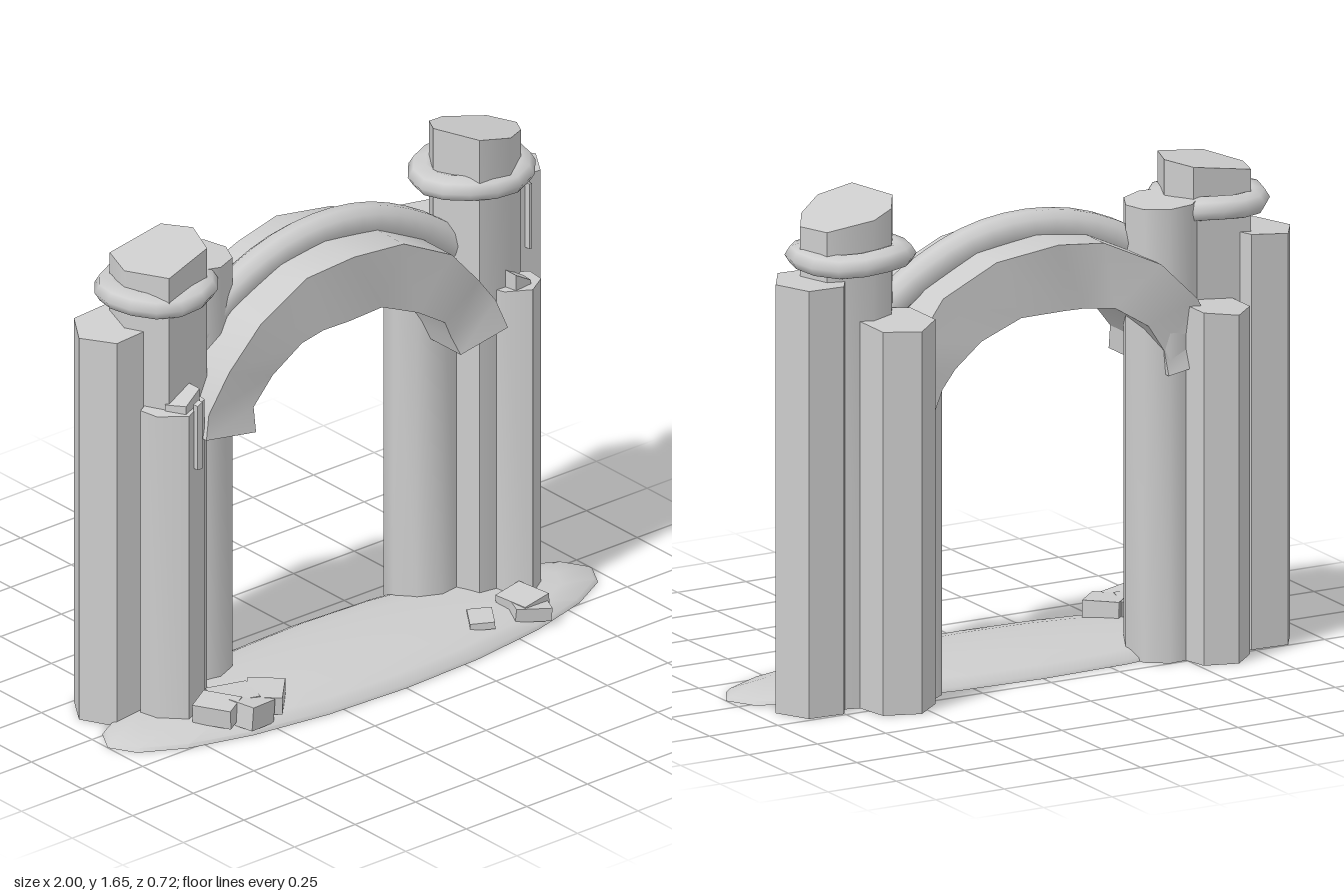
import * as THREE from 'three';
import { toCreasedNormals } from 'three/addons/utils/BufferGeometryUtils.js';

export function createModel() {
  const model = new THREE.Group();
  const stone = new THREE.MeshStandardMaterial({ color: 0xcccccc });
  stone.name = 'grey stone';

  function add(name, geometry, crease = 0.8) {
    const mesh = new THREE.Mesh(toCreasedNormals(geometry, crease), stone);
    mesh.name = name;
    model.add(mesh);
    return mesh;
  }

  // Upright prism over an [x, z] outline, its top slanting by slopeX and slopeZ
  function prism(name, outline, height, slopeX = 0, slopeZ = 0, bottom = 0) {
    const shape = new THREE.Shape(outline.map(([x, z]) => new THREE.Vector2(x, -z)));
    const g = new THREE.ExtrudeGeometry(shape, { depth: height - bottom, bevelEnabled: false });
    g.rotateX(-Math.PI / 2).translate(0, bottom, 0);
    g.computeBoundingBox();
    const c = g.boundingBox.getCenter(new THREE.Vector3());
    const p = g.attributes.position;
    for (let i = 0; i < p.count; i++) {
      if (p.getY(i) > (height + bottom) / 2) {
        p.setY(i, height + slopeX * (p.getX(i) - c.x) + slopeZ * (p.getZ(i) - c.z));
      }
    }
    return add(name, g);
  }

  const polygon = (x, z, r, sides, turn = 0) => Array.from({ length: sides }, (_, i) => {
    const a = turn + (i / sides) * Math.PI * 2;
    return [x + r * Math.cos(a), z + r * Math.sin(a)];
  });

  // Low mound of ground
  const mound = [[0, 0], [1, 0], [0.985, 0.012], [0.85, 0.033], [0.6, 0.048], [0.3, 0.058], [0, 0.06]];
  const ground = new THREE.LatheGeometry(mound.map(([r, y]) => new THREE.Vector2(r, y)), 20, Math.PI / 2);
  add('groundMound', ground.scale(1, 1, 0.28).translate(0, 0, 0.078));

  // Right pillar cluster (-x)
  prism('mainColumnRight', [[-0.8, -0.08], [-0.76, -0.2], [-0.55, -0.2], [-0.5, -0.1],
    [-0.55, 0.03], [-0.74, 0.07]], 1.588, 0.17, 0);
  prism('outerColumnRight', polygon(-0.81, -0.13, 0.13, 6, 0.05), 1.36, 0.1, 0);
  prism('innerColumnRight', polygon(-0.47, -0.13, 0.122, 9, 0.1), 1.495, -0.04, 0);
  prism('backColumnRight', polygon(-0.6, -0.245, 0.115, 6, 0.3), 1.16, 0.1, 0.1);
  prism('frontColumnRight', [[-0.8, 0.0], [-0.79, 0.07], [-0.72, 0.145], [-0.62, 0.1],
    [-0.61, 0.0], [-0.7, -0.05]], 1.11, 0.12, 0);

  // Left pillar cluster (+x)
  prism('mainColumnLeft', [[0.5, -0.11], [0.55, -0.19], [0.63, -0.22], [0.78, -0.18],
    [0.82, -0.08], [0.77, 0.0], [0.67, 0.07], [0.55, 0.06]], 1.61, -0.22, 0.1);
  prism('outerColumnLeft', polygon(0.81, -0.13, 0.125, 6, 0.05), 1.41, 0, 0.03);
  prism('innerColumnLeft', polygon(0.47, -0.13, 0.122, 9, 0.3), 1.2, 0.1, 0);
  prism('backColumnLeft', polygon(0.56, -0.24, 0.125, 6, 0.35), 1.27, 0, 0.1);
  prism('frontColumnLeft', [[0.61, 0.03], [0.62, 0.1], [0.69, 0.155], [0.77, 0.1],
    [0.79, 0.02], [0.7, -0.05]], 1.1, 0, 0.12);

  // Flattened collars near the column tops
  for (const side of [-1, 1]) {
    const ring = new THREE.TorusGeometry(0.15, 0.06, 8, 14).rotateX(Math.PI / 2);
    const p = ring.attributes.position;
    for (let i = 0; i < p.count; i++) {
      const a = Math.atan2(p.getZ(i), p.getX(i));
      p.setY(i, p.getY(i) * 0.66 + 0.005 * Math.sin(3 * a + side));
    }
    ring.scale(side < 0 ? 0.97 : 1.02, 1, 0.93).translate(side < 0 ? -0.66 : 0.642, 1.463, -0.09);
    add(side < 0 ? 'collarRight' : 'collarLeft', ring, 1.3);
  }

  // Rough arch: sections of inner x, y and outer x, y, running from -x to +x
  const sections = [
    [-0.425, 0.95, -0.63, 0.985], [-0.42, 1.03, -0.605, 1.06], [-0.35, 1.125, -0.53, 1.19],
    [-0.23, 1.2, -0.4, 1.32], [-0.13, 1.21, -0.2, 1.415], [-0.04, 1.22, -0.02, 1.44],
    [0.11, 1.215, 0.2, 1.41], [0.25, 1.155, 0.39, 1.315], [0.36, 1.085, 0.5, 1.19],
    [0.395, 1.02, 0.58, 1.09], [0.42, 0.955, 0.615, 0.99]];
  const points = [];
  const faces = [];
  sections.forEach(([ix, iy, ox, oy], i) => {
    const front = 0.112 + 0.01 * Math.cos(i * 2.5);
    const back = -0.252 - 0.014 * Math.cos(i * 2.2 + 1);
    points.push(ix, iy, front, ox, oy, front, ox, oy, back, ix, iy, back);
    if (i === 0) return;
    for (let k = 0; k < 4; k++) {
      const a = (i - 1) * 4 + k, b = (i - 1) * 4 + (k + 1) % 4;
      faces.push(a, a + 4, b, b, a + 4, b + 4);
    }
  });
  const end = (sections.length - 1) * 4;
  faces.push(0, 1, 2, 0, 2, 3, end, end + 2, end + 1, end, end + 3, end + 2);
  const arch = new THREE.BufferGeometry();
  arch.setAttribute('position', new THREE.Float32BufferAttribute(points, 3));
  arch.setIndex(faces);
  add('arch', arch, 0.5);

  // Rounded rib along the arch crown
  const ribPath = new THREE.CatmullRomCurve3([[-0.56, 1.22], [-0.4, 1.34], [-0.2, 1.43], [0, 1.457],
    [0.2, 1.43], [0.4, 1.34], [0.54, 1.24]].map(([x, y]) => new THREE.Vector3(x, y, -0.075)));
  add('archRib', new THREE.TubeGeometry(ribPath, 16, 0.056, 10), 1);

  // Broken shards on the front columns
  prism('shardRight', [[-0.69, 0.13], [-0.67, 0.13], [-0.67, 0.15], [-0.69, 0.15]], 1.14, 0.5, 0, 0.91);
  prism('shardTopRight', [[-0.75, 0.06], [-0.64, 0.05], [-0.64, 0.1], [-0.72, 0.13]], 1.145, 0.35, 0, 1.08);
  prism('shardTopLeft', [[0.65, 0.05], [0.74, 0.05], [0.72, 0.11], [0.65, 0.12]], 1.135, -0.6, 0, 1.08);
  prism('shardLeft', [[0.805, -0.03], [0.815, -0.03], [0.815, 0], [0.805, 0]], 1.39, 0, 0, 1.16);

  // Fallen rubble: x, y, z, width, height, depth, turn, tilt
  const rubble = [
    [-0.65, 0.07, 0.2, 0.1, 0.065, 0.13, 0.5, 0.08],
    [-0.56, 0.06, 0.26, 0.11, 0.08, 0.1, 0.2, -0.1],
    [-0.47, 0.07, 0.22, 0.13, 0.06, 0.12, 0.8, 0.05],
    [-0.57, 0.07, 0.18, 0.14, 0.06, 0.12, -0.3, 0],
    [0.43, 0.052, 0.21, 0.08, 0.024, 0.11, -0.6, 0.06],
    [0.61, 0.055, 0.2, 0.11, 0.05, 0.13, 0.12, 0.1],
    [0.6, 0.045, 0.25, 0.12, 0.045, 0.08, -0.4, -0.1]];
  rubble.forEach(([x, y, z, w, h, d, turn, tilt], i) => {
    const piece = add('rubble' + (i + 1), new THREE.BoxGeometry(w, h, d));
    piece.position.set(x, y, z);
    piece.rotation.set(0, turn, tilt);
  });

  return model;
}
